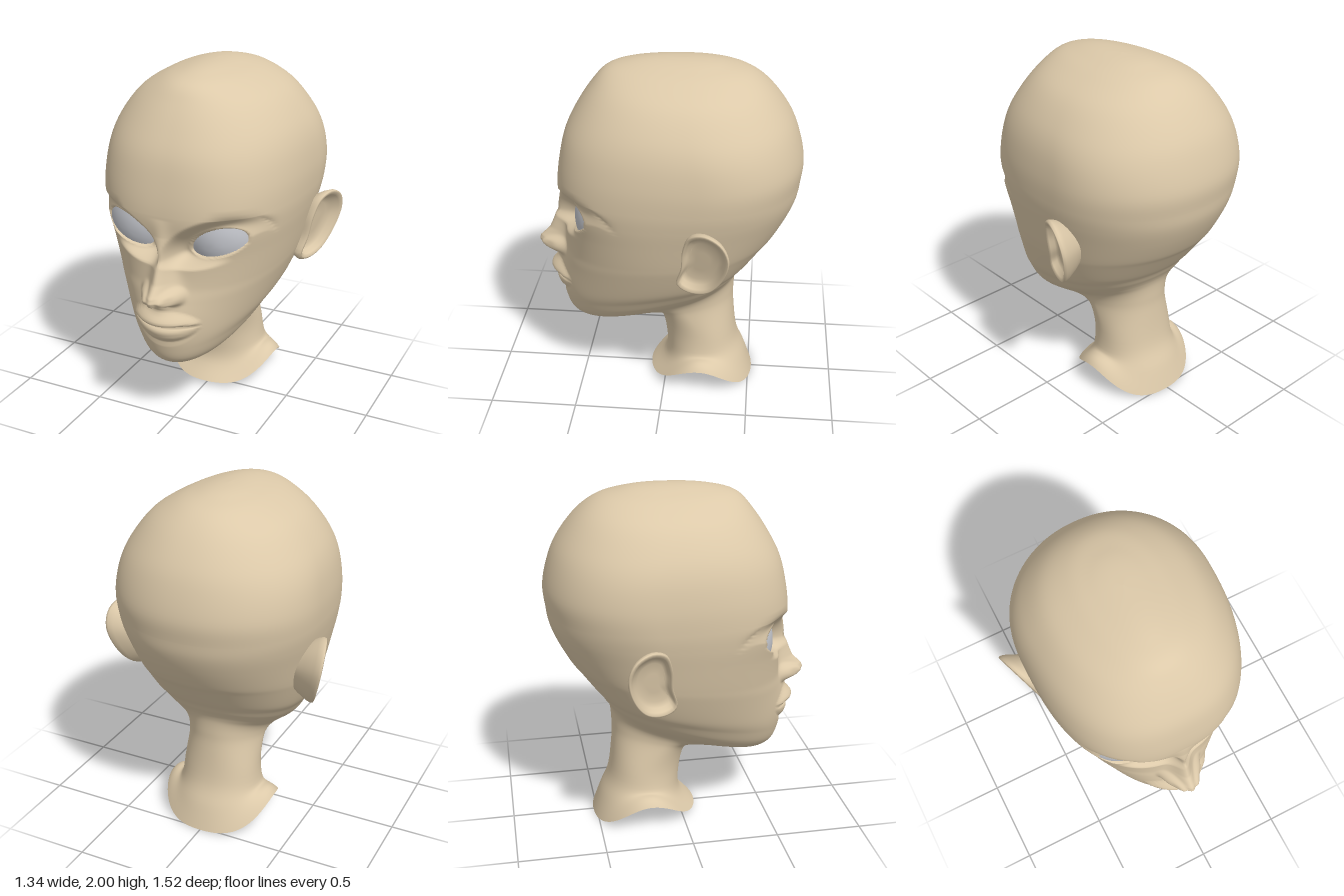
import * as THREE from 'three';
import { mergeVertices } from 'three/addons/utils/BufferGeometryUtils.js';

const skin = new THREE.MeshStandardMaterial({ color: 0xdcc9a9, side: THREE.DoubleSide });
skin.name = 'skin';
const eyeGrey = new THREE.MeshStandardMaterial({ color: 0xc2c4ca });
eyeGrey.name = 'eye grey';

const { smoothstep, lerp } = THREE.MathUtils;
const bell = (v, centre, spread) => Math.exp(-(((v - centre) / spread) ** 2));

// Height read from a short table of [y, height], y descending
function profile(table, y) {
  if (y >= table[0][0]) return table[0][1];
  for (let i = 1; i < table.length; i++) {
    const [y0, h0] = table[i - 1], [y1, h1] = table[i];
    if (y >= y1) return lerp(h1, h0, (y - y1) / (y0 - y1));
  }
  return table[table.length - 1][1];
}

// Smooth surface through a list of closed rings of points
function loft(rings, flip = false) {
  const n = rings[0].length, index = [];
  for (let i = 0; i < rings.length - 1; i++) {
    for (let j = 0; j < n; j++) {
      const k = (j + 1) % n;
      const a = i * n + j, b = a + n, c = (i + 1) * n + k, d = i * n + k;
      if (flip) index.push(a, c, b, a, d, c);
      else index.push(a, b, c, a, c, d);
    }
  }
  let geo = new THREE.BufferGeometry();
  geo.setAttribute('position', new THREE.Float32BufferAttribute(rings.flat(2), 3));
  geo.setIndex(index);
  geo = mergeVertices(geo, 1e-5);
  geo.computeVertexNormals();
  return geo;
}

// Tilted head rings: front z, front y, back z, back y, half width
const headRows = [
  [-0.1, 2, -0.1, 2, 0],
  [0.08, 1.995, -0.23, 1.993, 0.07],
  [0.22, 1.975, -0.33, 1.975, 0.15],
  [0.34, 1.935, -0.46, 1.935, 0.26],
  [0.42, 1.85, -0.57, 1.85, 0.4],
  [0.5, 1.73, -0.67, 1.72, 0.5],
  [0.565, 1.6, -0.725, 1.6, 0.555],
  [0.6, 1.45, -0.76, 1.45, 0.578],
  [0.617, 1.3, -0.75, 1.33, 0.575],
  [0.605, 1.18, -0.735, 1.24, 0.56],
  [0.585, 1.05, -0.695, 1.14, 0.535],
  [0.585, 0.9, -0.635, 1.03, 0.505],
  [0.597, 0.8, -0.59, 0.97, 0.482],
  [0.61, 0.6, -0.51, 0.86, 0.425],
  [0.605, 0.5, -0.47, 0.81, 0.38],
  [0.58, 0.43, -0.445, 0.77, 0.345],
  [0.53, 0.39, -0.425, 0.74, 0.31],
  [0.46, 0.382, -0.41, 0.71, 0.275],
  [0.3, 0.41, -0.4, 0.67, 0.237],
  [0.13, 0.445, -0.395, 0.6, 0.218],
  [0.04, 0.42, -0.395, 0.5, 0.215],
  [0, 0.25, -0.42, 0.28, 0.232],
  [0.01, 0.13, -0.475, 0.14, 0.265],
  [0.095, 0.03, -0.52, 0.005, 0.335],
];

// Catmull-Rom blend of the rows, finer over the face
function headSections() {
  const out = [], last = headRows.length - 1;
  for (let i = 0; i < last; i++) {
    const p = [-1, 0, 1, 2].map((k) => headRows[Math.min(last, Math.max(0, i + k))]);
    const steps = i >= 8 && i < 15 ? 20 : 5;
    for (let s = 0; s < steps; s++) {
      const t = s / steps;
      out.push(p[1].map((b, c) => {
        const a = p[0][c], d = p[2][c], e = p[3][c];
        return b + 0.5 * t * (d - a + t * (2 * a - 5 * b + 4 * d - e + t * (3 * (b - d) + e - a)));
      }));
    }
  }
  out.push(headRows[last]);
  return out;
}

// Almond eye opening and the eyeball surface behind it (for x > 0)
const eye = { x: 0.27, half: 0.14, up: 0.09, down: 0.055 };
const eyeLine = (x) => 1.13 + (0.04 * (x - eye.x)) / eye.half;
function eyeballZ(x, y) {
  const r2 = 0.0676 - (x - 0.25) ** 2 - (y - 1.15) ** 2;
  return 0.235 + Math.sqrt(Math.max(0, r2)) - 0.12 * (x - eye.x);
}

const noseRidge = [[1.28, 0], [1.18, 0.02], [1.05, 0.065], [0.93, 0.112], [0.875, 0.16],
  [0.85, 0.162], [0.825, 0.14], [0.8, 0.05], [0.77, 0.025], [0.74, 0]];
const lipShape = [[0.765, 0], [0.73, 0.035], [0.705, 0.052], [0.685, 0.045], [0.672, -0.012],
  [0.666, -0.012], [0.652, 0.016], [0.63, 0.024], [0.595, 0.018], [0.565, -0.006], [0.53, 0]];

// Moves a point of the plain head forward or back to form the face
function faceZ(sx, y, z) {
  if (z < 0.15 || y < 0.42 || y > 1.5) return z;
  const x = Math.abs(sx);
  // eye sockets with a lid rim
  const dy = y - eyeLine(x);
  const q = Math.hypot((x - eye.x) / eye.half, dy / (dy > 0 ? eye.up : eye.down));
  const target = eyeballZ(x, y) - 0.015 + 0.032 * smoothstep(q, 1, 1.14);
  z += Math.min(0, target - z) * (1 - smoothstep(q, 1.1, 2));
  // nose ridge, tip and wings
  const width = lerp(0.066, 0.05, smoothstep(y, 0.88, 1.02));
  z += profile(noseRidge, y) * bell(x, 0, width);
  const wing = ((x - 0.08) / 0.045) ** 2 + ((y - 0.85) / 0.045) ** 2;
  z += 0.06 * Math.exp(-wing * wing);
  // mouth area and lips
  z += 0.04 * bell(x, 0, 0.17) * bell(y, 0.7, 0.13);
  const taper = Math.sqrt(Math.max(0, 1 - (x / 0.2) ** 2));
  const line = 0.669 + 0.3 * x * x;
  return z + profile(lipShape, 0.669 + (y - line) / Math.max(taper, 0.3)) * taper;
}

function headGeometry() {
  const columns = 160;
  const rings = headSections().map(([zf, yf, zb, yb, w]) => {
    // widest point, squareness of the front and shoulder lift follow from the height
    const mid = (yf + yb) / 2;
    const zc = -0.1 - 0.1 * bell(mid, 1.45, 0.3) - 0.12 * (1 - smoothstep(mid, 0.3, 0.6));
    const square = 2 + 0.6 * bell(mid, 1.35, 0.45);
    const lift = 0.15 * (1 - smoothstep(mid, 0.02, 0.25));
    return Array.from({ length: columns }, (_, j) => {
      const t = (2 * j) / columns - 1;
      const angle = Math.PI * (0.5 * t + 0.5 * t ** 3);
      const s = Math.sin(angle), c = Math.cos(angle);
      const e = c > 0 ? square : 2.15;
      const r = (Math.abs(s) ** e + Math.abs(c) ** e) ** (-1 / e);
      const x = w * r * s;
      const z = zc + r * c * (c > 0 ? zf - zc : zc - zb);
      const k = zf - zb > 1e-6 ? (z - zb) / (zf - zb) : 0;
      const y = lerp(yb, yf, k) + lift * s ** 4;
      return [x, y, faceZ(x, y, z)];
    });
  });
  return loft(rings);
}

// Almond patch lying on the eyeball
function eyeGeometry(side) {
  const rings = [1.08, 0.9, 0.7, 0.5, 0.25, 0].map((q) => Array.from({ length: 40 }, (_, j) => {
    const a = (-j / 40) * Math.PI * 2;
    const x = eye.x + eye.half * q * Math.cos(a);
    const y = eyeLine(x) + q * Math.sin(a) * (Math.sin(a) > 0 ? eye.up : eye.down);
    return [side * x, y, eyeballZ(x, y)];
  }));
  return loft(rings, side < 0);
}

// Dished ear: rings run from inside the head, over the rim, into the bowl
function earGeometry(side) {
  const outline = new THREE.CatmullRomCurve3([
    [-0.25, 1.26], [-0.34, 1.22], [-0.383, 1.12], [-0.345, 0.97], [-0.265, 0.87],
    [-0.16, 0.845], [-0.095, 0.88], [-0.12, 1], [-0.13, 1.13], [-0.17, 1.23],
  ].map(([z, y]) => new THREE.Vector3(0, y, z)), true).getSpacedPoints(48).slice(0, 48);
  const steps = [[0.5, -0.16], [0.78, -0.09], [0.95, -0.035], [1, -0.008], [0.98, 0.008], [0.93, 0.012],
    [0.85, 0], [0.76, -0.03], [0.6, -0.046], [0.3, -0.046], [0, -0.044]];
  const rings = steps.map(([scale, out]) => outline.map((p) => {
    const z = -0.235 + (p.z + 0.235) * scale, y = 1.05 + (p.y - 1.05) * scale;
    return [side * (0.56 + (-0.15 - z) * 0.36 + (y - 1.05) * 0.18 + out), y, z];
  }));
  return loft(rings, side < 0);
}

export function createModel() {
  const model = new THREE.Group();
  model.name = 'headBust';
  const add = (name, geometry, material) => {
    const mesh = new THREE.Mesh(geometry, material);
    mesh.name = name;
    model.add(mesh);
  };
  add('headAndNeck', headGeometry(), skin);
  for (const [label, side] of [['left', 1], ['right', -1]]) {
    add(label + 'Eye', eyeGeometry(side), eyeGrey);
    add(label + 'Ear', earGeometry(side), skin);
  }
  return model;
}
